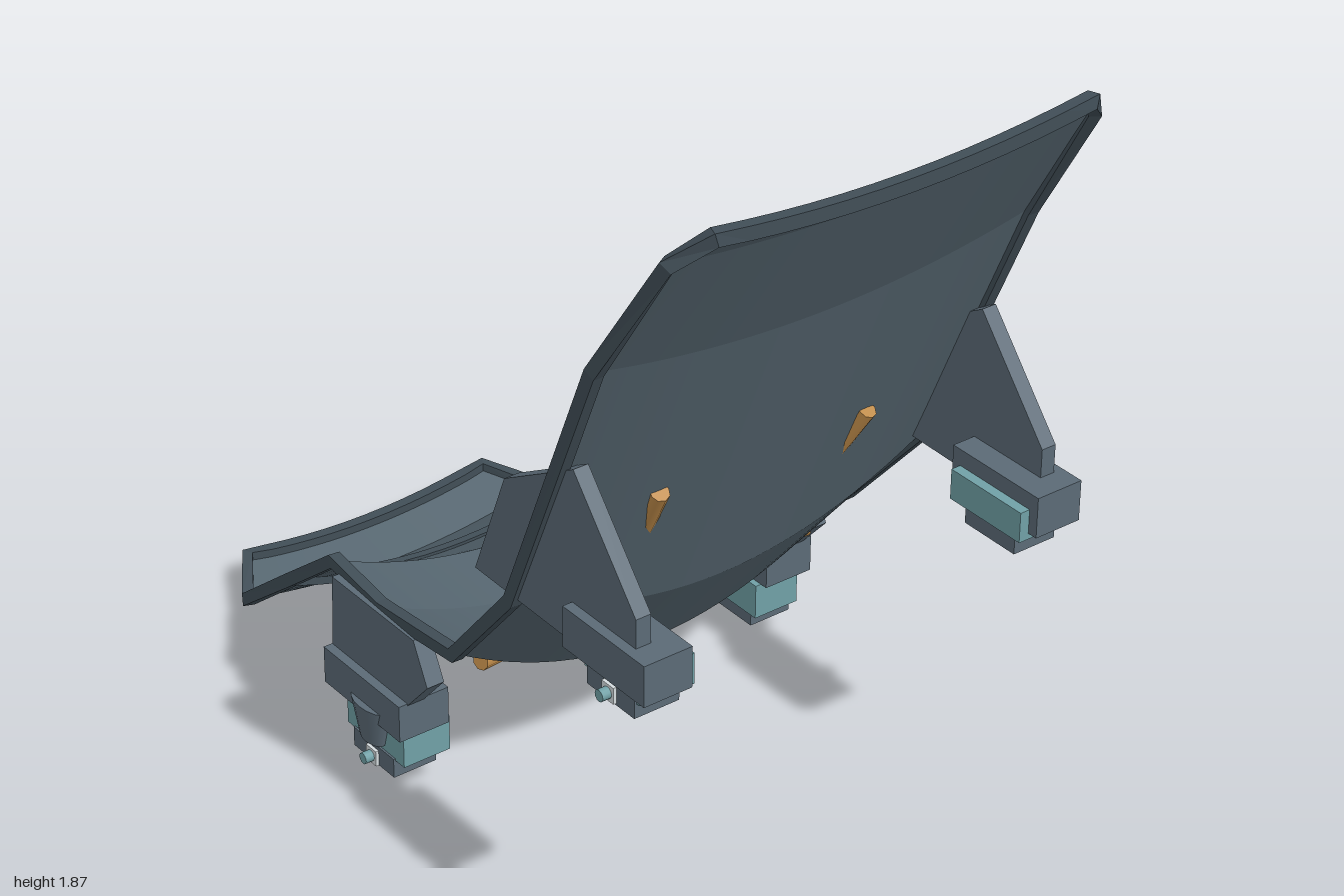
import * as THREE from 'three';

const mat = (name, color, side = THREE.FrontSide) => {
  const m = new THREE.MeshStandardMaterial({ color, side });
  m.name = name;
  return m;
};

// Couch stations: x, edge height, half width, sag at the centre line
const STATIONS = [
  [-0.985, 0.09, 0.35, 0.035], [-0.86, 0.065, 0.43, 0.05], [-0.57, 0.295, 0.48, 0.09],
  [-0.31, 0.5, 0.53, 0.13], [-0.11, 0.485, 0.54, 0.14], [0.19, 0.525, 0.55, 0.175],
  [0.42, 0.79, 0.56, 0.15], [0.72, 1.485, 0.57, 0.06], [0.92, 1.805, 0.545, 0.035],
  [0.98, 1.87, 0.48, 0.035],
];
const ACROSS = 24;
const pointOn = ([x, y, w, sag], t) => new THREE.Vector3(x, y - sag * (1 - t * t), t * w);

function geometryFrom(pos, index) {
  const g = new THREE.BufferGeometry();
  g.setAttribute('position', new THREE.Float32BufferAttribute(pos, 3));
  if (index) g.setIndex(index);
  g.computeVertexNormals();
  return g;
}

// One panel between two stations, smooth across and creased at its ends
function panel(a, b) {
  const pos = [], index = [];
  for (let j = 0; j <= ACROSS; j++) {
    const t = -1 + (2 * j) / ACROSS;
    pos.push(...pointOn(a, t).toArray(), ...pointOn(b, t).toArray());
    if (j < ACROSS) {
      const k = 2 * j;
      index.push(k, k + 2, k + 1, k + 1, k + 2, k + 3);
    }
  }
  return geometryFrom(pos, index);
}

// Rectangular section swept along a path with mitred corners
function sweep(points, halfU, halfS, closed) {
  const n = points.length;
  const at = (i) => closed ? points[(i + n) % n] : points[Math.min(Math.max(i, 0), n - 1)];
  const rings = points.map((p, i) => {
    const before = p.clone().sub(at(i - 1)).normalize();
    const after = at(i + 1).clone().sub(p).normalize();
    const T = before.add(after).normalize();
    const S = T.clone().cross(new THREE.Vector3(0, 1, 0)).normalize();
    const U = S.clone().cross(T);
    return [[1, 1], [-1, 1], [-1, -1], [1, -1]].map(([u, s]) =>
      p.clone().addScaledVector(U, u * halfU).addScaledVector(S, s * halfS));
  });
  const pos = [];
  const quad = (a, b, c, d) => [a, b, c, a, c, d].forEach((v) => pos.push(v.x, v.y, v.z));
  for (let i = 0; i < (closed ? n : n - 1); i++) {
    const r = rings[i], q = rings[(i + 1) % n];
    for (let j = 0; j < 4; j++) {
      const k = (j + 1) % 4;
      quad(r[j], r[k], q[k], q[j]);
    }
  }
  if (!closed) {
    const r = rings[0], q = rings[n - 1];
    quad(r[3], r[2], r[1], r[0]);
    quad(q[0], q[1], q[2], q[3]);
  }
  return geometryFrom(pos);
}

export function createModel() {
  const model = new THREE.Group();
  model.name = 'recliningCouch';
  const shellMat = mat('slate shell', 0x55656f, THREE.DoubleSide);
  const rimMat = mat('dark slate rim', 0x414e57);
  const bracketMat = mat('blue grey bracket', 0x5b6a76);
  const tealMat = mat('pale teal pad', 0x70a0a6);
  const strapMat = mat('tan harness', 0xc08c4a);
  const paleMat = mat('pale bolt', 0xd5dcdf);

  const add = (name, geo, material, parent = model) => {
    const m = new THREE.Mesh(geo, material);
    m.name = name;
    parent.add(m);
    return m;
  };

  // Curved couch shell
  const shell = new THREE.Group();
  shell.name = 'couchShell';
  model.add(shell);
  for (let i = 0; i < STATIONS.length - 1; i++)
    add('shellPanel', panel(STATIONS[i], STATIONS[i + 1]), shellMat, shell);

  // Rim around the whole edge
  const loop = STATIONS.map((s) => pointOn(s, 1));
  const last = STATIONS[STATIONS.length - 1];
  for (let j = 1; j < 12; j++) loop.push(pointOn(last, 1 - j / 6));
  [...STATIONS].reverse().forEach((s) => loop.push(pointOn(s, -1)));
  for (let j = 1; j < 12; j++) loop.push(pointOn(STATIONS[0], -1 + j / 6));
  add('rim', sweep(loop, 0.016, 0.014, true), rimMat);

  // Raised rib across the leg rest
  const rib = [];
  for (let j = 0; j <= 16; j++) rib.push(pointOn(STATIONS[2], -1 + j / 8));
  add('legRib', sweep(rib, 0.014, 0.01, false), rimMat);

  // Harness: hub, crotch strap, lap straps and shoulder straps
  const harness = new THREE.Group();
  harness.name = 'harness';
  model.add(harness);
  const rod = (name, a, b, r) => {
    const A = new THREE.Vector3(...a), B = new THREE.Vector3(...b), d = B.clone().sub(A);
    const m = add(name, new THREE.CylinderGeometry(r, r, d.length(), 8), strapMat, harness);
    m.position.copy(A).add(B).multiplyScalar(0.5);
    m.quaternion.setFromUnitVectors(new THREE.Vector3(0, 1, 0), d.normalize());
  };
  add('harnessHub', new THREE.BoxGeometry(0.085, 0.06, 0.11), strapMat, harness).position.set(0.04, 0.39, 0);
  rod('crotchStrap', [-0.16, 0.375, 0], [0.03, 0.39, 0], 0.025);
  for (const s of [1, -1]) {
    rod('lapStrap', [0.05, 0.39, 0.04 * s], [0.155, 0.45, 0.46 * s], 0.022);
    rod('shoulderStrapLower', [0.05, 0.4, 0.04 * s], [0.375, 0.72, 0.235 * s], 0.022);
    rod('shoulderStrapUpper', [0.37, 0.71, 0.235 * s], [0.56, 1.02, 0.28 * s], 0.022);
  }

  // Side brackets with stacked mounting feet
  const plate = (name, pts, z0, z1, s, parent) => {
    const shape = new THREE.Shape(pts.map((p) => new THREE.Vector2(...p)));
    const geo = new THREE.ExtrudeGeometry(shape, { depth: z1 - z0, bevelEnabled: false });
    add(name, geo, bracketMat, parent).position.z = s > 0 ? z0 : -z1;
  };
  const block = (name, [x0, x1], [y0, y1], [z0, z1], s, material, parent) =>
    add(name, new THREE.BoxGeometry(x1 - x0, y1 - y0, z1 - z0), material, parent)
      .position.set((x0 + x1) / 2, (y0 + y1) / 2, s * (z0 + z1) / 2);
  const bolt = (x, y, s, parent) => {
    const pin = add('footBolt', new THREE.CylinderGeometry(0.014, 0.014, 0.08, 12), tealMat, parent);
    pin.rotation.x = Math.PI / 2;
    pin.position.set(x, y, s * 0.56);
    block('boltPlate', [x - 0.02, x + 0.02], [y - 0.02, y + 0.02], [0.57, 0.578], s, paleMat, parent);
  };

  for (const s of [1, -1]) {
    const side = s > 0 ? 'left' : 'right';
    const seat = new THREE.Group();
    seat.name = side + 'SeatBracket';
    const back = new THREE.Group();
    back.name = side + 'BackBracket';
    model.add(seat, back);

    plate('seatPlate', [[-0.28, 0.25], [0.02, 0.25], [0.02, 0.3], [0.1, 0.39], [0.05, 0.49], [-0.27, 0.49]],
      0.52, 0.565, s, seat);
    block('seatFootBlock', [-0.28, 0.02], [0.21, 0.305], [0.455, 0.588], s, bracketMat, seat);
    block('seatFootPad', [-0.225, 0], [0.12, 0.21], [0.44, 0.565], s, tealMat, seat);
    block('seatFootBase', [-0.195, -0.035], [0.075, 0.125], [0.455, 0.57], s, bracketMat, seat);
    const cup = add('seatFootCup', new THREE.CylinderGeometry(0.068, 0.042, 0.1, 16), bracketMat, seat);
    cup.scale.z = 0.5;
    cup.position.set(-0.115, 0.19, s * 0.571);
    bolt(-0.115, 0.095, s, seat);

    plate('backPlate', [[0.29, 0.805], [0.66, 0.8], [0.85, 0.88], [0.85, 0.97], [0.64, 1.22], [0.4, 1.08]],
      0.525, 0.563, s, back);
    block('backFootBlock', [0.635, 0.91], [0.8, 0.9], [0.465, 0.588], s, bracketMat, back);
    block('backFootPad', [0.66, 0.885], [0.785, 0.86], [0.44, 0.57], s, tealMat, back);
    block('backFootSpacer', [0.68, 0.865], [0.77, 0.79], [0.47, 0.565], s, tealMat, back);
    block('backFootBase', [0.695, 0.855], [0.735, 0.785], [0.455, 0.57], s, bracketMat, back);
    bolt(0.775, 0.76, s, back);
  }
  return model;
}
